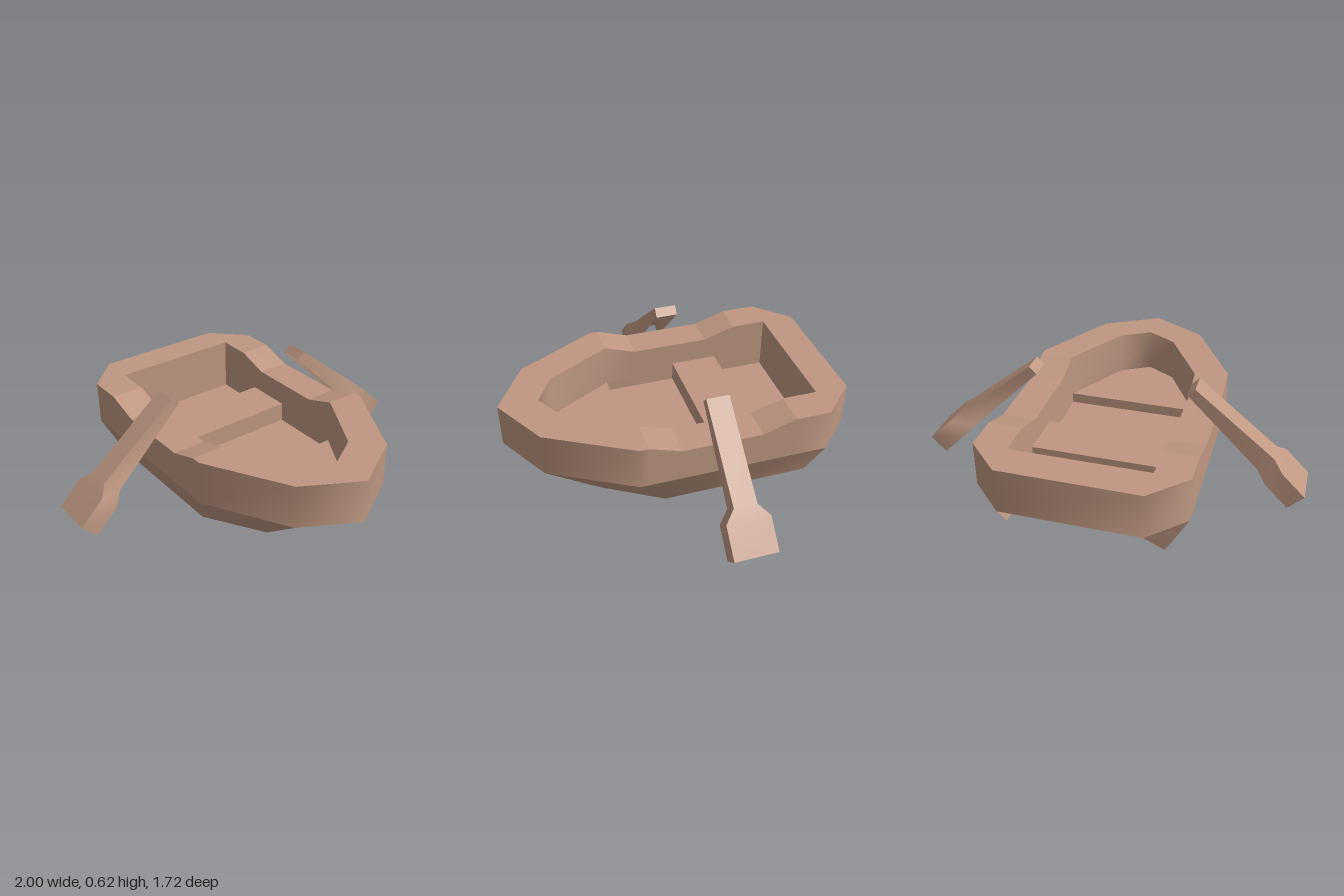
import * as THREE from 'three';
import { toCreasedNormals } from 'three/addons/utils/BufferGeometryUtils.js';

const wood = new THREE.MeshStandardMaterial({ color: 0xbf9781, side: THREE.DoubleSide });
wood.name = 'wood';

const RIM_TOP = 0.465, DIP = 0.41, RIM_BASE = 0.235, FLOOR = 0.18;
const SMOOTH = 1.1, FLAT = 0.1;

// Joins a row of cross-sections (each a list of [x, y, z]) with quads
function loft(sections, { closedRow = false, startCap = false, crease = SMOOTH } = {}) {
  const n = sections.length, pos = [];
  const quad = (a, b, c, d) => [a, b, c, a, c, d].forEach((p) => pos.push(...p));
  for (let i = 0; i < (closedRow ? n : n - 1); i++) {
    const s = sections[i], t = sections[(i + 1) % n];
    for (let j = 0; j < s.length - 1; j++) quad(s[j], t[j], t[j + 1], s[j + 1]);
  }
  if (startCap) quad(...sections[0]);
  const g = new THREE.BufferGeometry();
  g.setAttribute('position', new THREE.Float32BufferAttribute(pos, 3));
  return toCreasedNormals(g, crease);
}

function addMesh(parent, name, geometry) {
  const mesh = new THREE.Mesh(geometry, wood);
  mesh.name = name;
  parent.add(mesh);
  return mesh;
}

export function createModel() {
  const boat = new THREE.Group();
  boat.name = 'rowingBoat';

  // Half outline from bow to stern: outer x, outer z, inner x, inner z, top height
  const half = [
    [0, 0.862, 0, 0.66, RIM_TOP],
    [0.285, 0.70, 0.155, 0.57, RIM_TOP],
    [0.517, 0.28, 0.345, 0.235, RIM_TOP],
    [0.517, 0.235, 0.345, 0.235, RIM_TOP],
    [0.517, 0.07, 0.345, 0.07, DIP],
    [0.517, -0.34, 0.345, -0.34, DIP],
    [0.517, -0.51, 0.345, -0.51, RIM_TOP],
    [0.517, -0.69, 0.345, -0.69, RIM_TOP],
    [0.345, -0.862, 0.345, -0.69, RIM_TOP],
  ];
  const mirrored = half.slice(1).reverse().map(([a, b, c, d, y]) => [-a, b, -c, d, y]);
  const loop = [...half, ...mirrored];

  // Hollow rim, open underneath, with lowered sides for the oars
  addMesh(boat, 'rimOuterWall', loft(
    loop.map(([x, z, , , y]) => [[x, RIM_BASE, z], [x, y, z]]), { closedRow: true }));
  addMesh(boat, 'rimTop', loft(
    loop.map(([ox, oz, ix, iz, y]) => [[ox, y, oz], [ix, y, iz]]), { closedRow: true, crease: FLAT }));
  addMesh(boat, 'rimInnerWall', loft(
    loop.map(([, , x, z, y]) => [[x, y, z], [x, RIM_BASE, z]]), { closedRow: true }));

  // Slanted lower hull sides, open at bow and stern: top x, top z, bottom x, bottom z
  const hull = [
    [0.285, 0.70, 0.22, 0.42], [0.517, 0.28, 0.40, 0.12],
    [0.517, -0.69, 0.40, -0.65], [0.345, -0.862, 0.399, -0.651],
  ];
  for (const side of [1, -1]) {
    const sections = hull.map(([tx, tz, bx, bz]) => [[side * bx, 0, bz], [side * tx, RIM_BASE, tz]]);
    if (side < 0) sections.reverse();
    addMesh(boat, side > 0 ? 'leftHullSide' : 'rightHullSide', loft(sections));
  }

  // Bow floor at the foot of the rim
  addMesh(boat, 'bowFloor', loft([
    [[-0.345, RIM_BASE, 0.235], [0.345, RIM_BASE, 0.235]],
    [[-0.155, RIM_BASE, 0.57], [0.155, RIM_BASE, 0.57]],
    [[-0.001, RIM_BASE, 0.66], [0.001, RIM_BASE, 0.66]],
  ]));

  // Sunken floor and its low walls
  const corners = [[0.345, 0.235], [0.345, -0.69], [-0.345, -0.69], [-0.345, 0.235]];
  addMesh(boat, 'floorWalls', loft(
    corners.map(([x, z]) => [[x, RIM_BASE, z], [x, FLOOR, z]]), { closedRow: true }));
  const floor = addMesh(boat, 'floor', new THREE.PlaneGeometry(0.69, 0.925));
  floor.rotation.x = -Math.PI / 2;
  floor.position.set(0, FLOOR, -0.2275);

  // Bench across the middle
  const bench = addMesh(boat, 'bench', new THREE.BoxGeometry(0.69, 0.104, 0.25));
  bench.position.set(0, FLOOR + 0.053, -0.275);

  // Oars, open underneath and at the blade end: distance along, half width, thickness
  const oarSections = [
    [0, 0.058, 0.053], [0.52, 0.058, 0.107], [0.585, 0.11, 0.11], [0.755, 0.11, 0.11],
  ];
  for (const side of [1, -1]) {
    const sections = oarSections.map(([s, w, t]) =>
      [[0, -w], [t, -w], [t, w], [0, w]].map(([h, z]) => [
        side * (0.386 + 0.71 * s + 0.704 * h), 0.58 - 0.704 * s + 0.71 * h, z - 0.13,
      ]));
    if (side < 0) sections.forEach((s) => s.reverse());
    addMesh(boat, side > 0 ? 'leftOar' : 'rightOar', loft(sections, { startCap: true }));
  }

  return boat;
}
